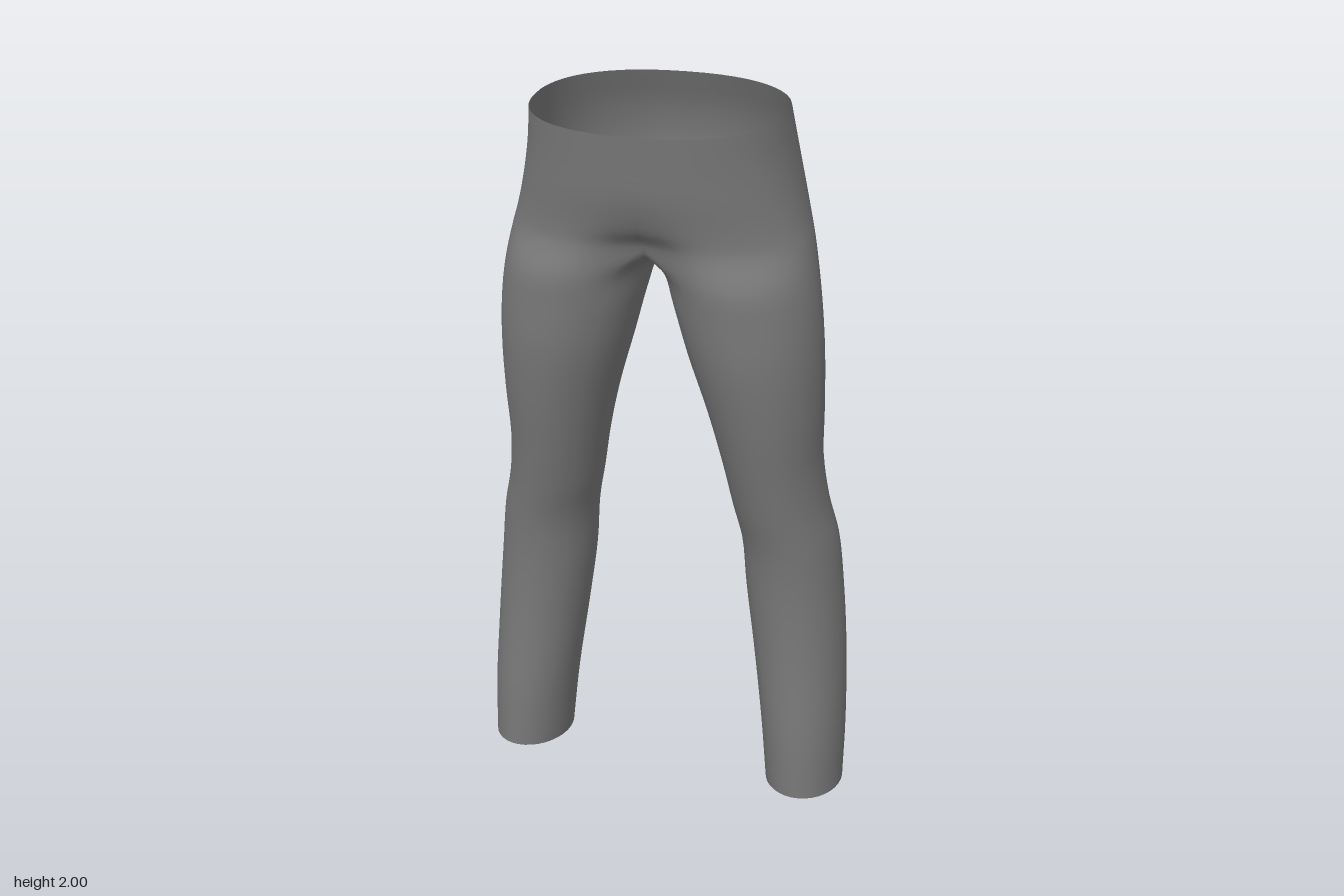
import * as THREE from 'three';
import { mergeVertices } from 'three/addons/utils/BufferGeometryUtils.js';

const OUTER = 26;   // columns from the front centre round the outside to the back centre
const INNER = 13;   // columns along the crotch and inner leg
const COLS = OUTER + 1 + INNER;
const STEPS = 4;    // rows between two key sections

// Hip sections: y, half width, front z, back z, centre dent at front, at back, tilt
const HIPS = [
  [1.976, 0.328, 0.255, -0.205, 0, 0, -0.12],
  [1.88, 0.342, 0.25, -0.243, 0, 0.004, -0.06],
  [1.78, 0.362, 0.243, -0.255, 0, 0.012, 0],
  [1.7, 0.382, 0.233, -0.233, 0.018, 0.03, 0],
  [1.65, 0.396, 0.233, -0.21, 0.06, 0.06, 0],
];
// Leg sections: y, inner x, outer x, front z, back z, tilt
const LEGS = [
  [1.57, 0.015, 0.412, 0.237, -0.178, 0],
  [1.48, 0.045, 0.425, 0.24, -0.157, 0],
  [1.36, 0.08, 0.434, 0.238, -0.148, 0],
  [1.2, 0.13, 0.436, 0.217, -0.14, 0],
  [1.05, 0.167, 0.435, 0.19, -0.138, 0],
  [0.92, 0.192, 0.452, 0.165, -0.148, 0],
  [0.8, 0.217, 0.481, 0.143, -0.165, 0],
  [0.65, 0.23, 0.5, 0.133, -0.172, 0],
  [0.45, 0.258, 0.518, 0.137, -0.168, 0],
  [0.22, 0.291, 0.53, 0.158, -0.156, 0],
  [0.02, 0.312, 0.532, 0.165, -0.14, 0.14],
];
const SPLIT = HIPS.length - 1;

const softPow = (v, p) => Math.sign(v) * Math.pow(Math.abs(v), p);

// Half a hip section, open at the middle
function hipPoint([y, a, zf, zb, dentF, dentB, tilt], col) {
  const t = (col / OUTER) * Math.PI;
  const centre = col === 0 || col === OUTER;
  const x = centre ? 0 : a * softPow(Math.sin(t), 0.88);
  let z = (zf + zb) / 2 + ((zf - zb) / 2) * softPow(Math.cos(t), 0.88);
  const dent = Math.exp(-((x / 0.1) ** 2));
  z -= (col < OUTER / 2 ? dentF : -dentB) * dent;
  return new THREE.Vector3(x, y + tilt * z, z);
}

// Saddle curve between the legs, from back to front
function crotchPoint(col) {
  const s = (col - OUTER) / (INNER + 1);
  const back = hipPoint(HIPS[SPLIT], OUTER), front = hipPoint(HIPS[SPLIT], 0);
  const p = back.lerp(front, (1 - Math.cos(Math.PI * s)) / 2);
  p.y -= 0.058 * Math.pow(Math.sin(Math.PI * s), 0.8);
  return p;
}

// Closed oval leg section
function legPoint([y, xi, xo, zf, zb, tilt], col) {
  const edge = THREE.MathUtils.degToRad(132);
  const ang = col <= OUTER
    ? edge - (2 * edge * col) / OUTER
    : -edge - ((2 * Math.PI - 2 * edge) * (col - OUTER)) / (INNER + 1);
  const z = (zf + zb) / 2 + ((zf - zb) / 2) * Math.sin(ang);
  return new THREE.Vector3((xi + xo) / 2 + ((xo - xi) / 2) * Math.cos(ang), y + tilt * z, z);
}

// Smooth line of points running down one column
function column(col) {
  const inner = col > OUTER;
  const keys = inner ? [crotchPoint(col)] : HIPS.map((h) => hipPoint(h, col));
  LEGS.forEach((l) => keys.push(legPoint(l, col)));
  const points = new THREE.CatmullRomCurve3(keys).getPoints((keys.length - 1) * STEPS);
  const seam = inner ? 0 : SPLIT * STEPS;
  points.forEach((p, i) => {
    p.x = Math.max(0, p.x);
    if ((inner || col === 0 || col === OUTER) && i <= seam) p.x = 0;
  });
  return { points, first: inner ? SPLIT * STEPS : 0 };
}

function trousersGeometry() {
  const columns = Array.from({ length: COLS }, (_, c) => column(c));
  const rows = (SPLIT + LEGS.length) * STEPS;
  const positions = [], indices = [];
  for (const side of [1, -1]) {
    const starts = columns.map(({ points, first }) => {
      const start = positions.length / 3 - first;
      points.forEach((p) => positions.push(side * p.x, p.y, p.z));
      return start;
    });
    for (let c = 0; c < COLS; c++) {
      const n = (c + 1) % COLS;
      for (let r = c < OUTER ? 0 : SPLIT * STEPS; r < rows; r++) {
        const a = starts[c] + r, b = starts[n] + r;
        if (side > 0) indices.push(a, a + 1, b + 1, a, b + 1, b);
        else indices.push(a, b + 1, a + 1, a, b, b + 1);
      }
    }
  }
  let geometry = new THREE.BufferGeometry();
  geometry.setAttribute('position', new THREE.Float32BufferAttribute(positions, 3));
  geometry.setIndex(indices);
  geometry = mergeVertices(geometry, 1e-5);
  // The hips lean slightly to one side
  const pos = geometry.attributes.position;
  for (let i = 0; i < pos.count; i++) {
    pos.setX(i, pos.getX(i) - 0.016 * THREE.MathUtils.smoothstep(pos.getY(i), 0.9, 2));
  }
  geometry.computeVertexNormals();
  return geometry;
}

export function createModel() {
  const group = new THREE.Group();
  group.name = 'trousers';
  const cloth = new THREE.MeshStandardMaterial({ color: 0x777777, side: THREE.DoubleSide });
  cloth.name = 'grey cloth';
  const mesh = new THREE.Mesh(trousersGeometry(), cloth);
  mesh.name = 'hipsAndLegs';
  group.add(mesh);
  return group;
}
